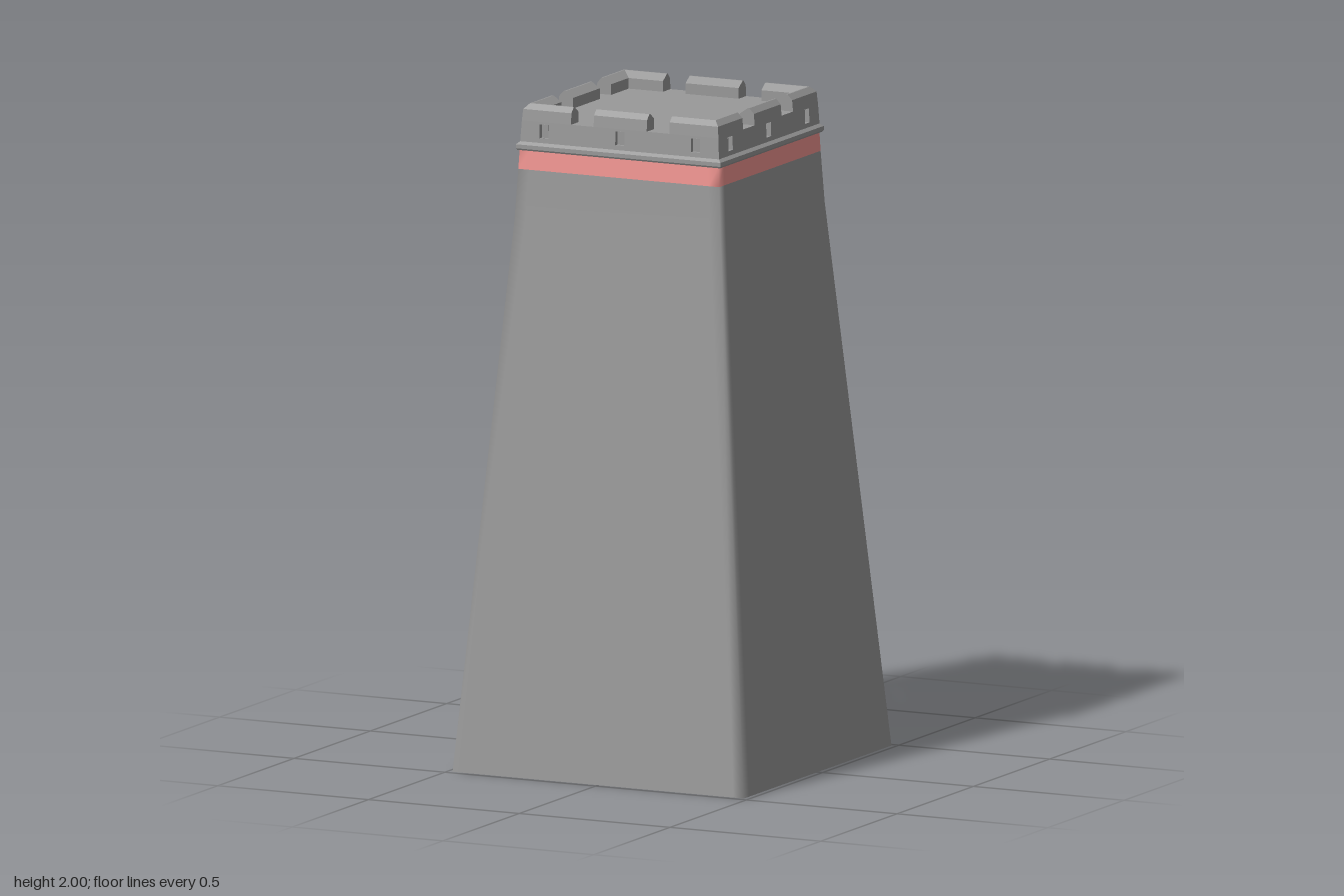
import * as THREE from 'three';

const stone = new THREE.MeshStandardMaterial({ color: 0x999999, side: THREE.DoubleSide });
const red = new THREE.MeshStandardMaterial({ color: 0xf29692, side: THREE.DoubleSide });

const CENTRE_Z = 0.013; // centre of the square top
const DECK_Y = 1.95;

// Wall outline at each height: half width, front z, back z, lip width
const LEVELS = [
  { y: 0, x: 0.483, front: 0.483, back: -0.485, lip: 0.05 },
  { y: 1.65, x: 0.342, front: 0.356, back: -0.326, lip: 0.033 },
  { y: 1.805, x: 0.333, front: 0.348, back: -0.317, lip: 0.03 },
  { y: 1.866, x: 0.33, front: 0.345, back: -0.315, lip: 0.029 },
];

// Wall plan: three sides, open at the back; points near each corner
// keep the soft corner shading in a narrow strip
const S = 0.035;
const wallPlan = (l) => [
  [l.x, l.back], [l.x, l.front - S], [l.x, l.front], [l.x - S, l.front],
  [-l.x + S, l.front], [-l.x, l.front], [-l.x, l.front - S], [-l.x, l.back],
];
// Narrow lips turned inward along the open back
const leftLipPlan = (l) => [[l.x - l.lip, l.back], [l.x, l.back]];
const rightLipPlan = (l) => [[-l.x, l.back], [-l.x + l.lip, l.back]];

function addMesh(parent, name, geometry, material = stone) {
  const mesh = new THREE.Mesh(geometry, material);
  mesh.name = name;
  parent.add(mesh);
  return mesh;
}

// Skin stretched between the plans of successive levels
function loft(levels, plan) {
  const pos = [], index = [];
  const n = plan(levels[0]).length;
  levels.forEach((l, j) => {
    plan(l).forEach(([x, z], i) => {
      pos.push(x, l.y, z);
      if (j < levels.length - 1 && i < n - 1) {
        const a = j * n + i, up = a + n;
        index.push(a, up, a + 1, a + 1, up, up + 1);
      }
    });
  });
  const g = new THREE.BufferGeometry();
  g.setAttribute('position', new THREE.Float32BufferAttribute(pos, 3));
  g.setIndex(index);
  g.computeVertexNormals();
  return g;
}

// Square ring from a profile of [half width, y]
function squareRing(profile) {
  const pts = profile.map(([d, y]) => new THREE.Vector2(d * Math.SQRT2, y));
  const g = new THREE.LatheGeometry(pts, 4).rotateY(Math.PI / 4).toNonIndexed();
  g.computeVertexNormals();
  return g;
}

// Merlon cross-section as [distance from centre, y], outer foot to inner foot
const MERLON = [
  [0.326, DECK_Y], [0.323, 1.984], [0.308, 2.0], [0.303, 2.0], [0.277, 1.982], [0.277, DECK_Y],
];

// Merlon from u = a to u = b; a null end is mitred at the corner
function merlon(a, b) {
  const start = MERLON.map(([d, y]) => [a === null ? -d : a, y, d]);
  const end = MERLON.map(([d, y]) => [b === null ? d : b, y, d]);
  const pos = [];
  const tri = (...p) => p.forEach((v) => pos.push(...v));
  for (let i = 0; i < MERLON.length - 1; i++) {
    tri(start[i], end[i], end[i + 1]);
    tri(start[i], end[i + 1], start[i + 1]);
  }
  for (let i = 1; i < MERLON.length - 1; i++) {
    if (a !== null) tri(start[0], start[i], start[i + 1]);
    if (b !== null) tri(end[0], end[i + 1], end[i]);
  }
  const g = new THREE.BufferGeometry();
  g.setAttribute('position', new THREE.Float32BufferAttribute(pos, 3));
  g.computeVertexNormals();
  return g;
}

// Parapet skin with three window slots, leaning slightly inward
const WINDOWS = [-0.251, 0, 0.251];
const SLOT = { w: 0.015, y0: 1.901, y1: 1.943 };
function parapetSkin() {
  const y0 = 1.88, lean = (y) => 0.33 - ((y - y0) / (DECK_Y - y0)) * 0.004;
  const polygon = (Type, pts) => new Type(pts.map(([x, y]) => new THREE.Vector2(x, y)));
  const shape = polygon(THREE.Shape, [
    [-lean(y0), y0], [lean(y0), y0], [lean(DECK_Y), DECK_Y], [-lean(DECK_Y), DECK_Y],
  ]);
  for (const u of WINDOWS) {
    shape.holes.push(polygon(THREE.Path, [
      [u - SLOT.w, SLOT.y0], [u - SLOT.w, SLOT.y1], [u + SLOT.w, SLOT.y1], [u + SLOT.w, SLOT.y0],
    ]));
  }
  const g = new THREE.ShapeGeometry(shape);
  const p = g.attributes.position;
  for (let i = 0; i < p.count; i++) p.setZ(i, lean(p.getY(i)));
  g.computeVertexNormals();
  return g;
}

// Window recess: a box without its front face
function recess() {
  const depth = 0.014;
  const g = new THREE.BoxGeometry(SLOT.w * 2, SLOT.y1 - SLOT.y0, depth);
  const idx = Array.from(g.index.array);
  idx.splice(24, 6);
  g.setIndex(idx);
  g.clearGroups();
  return g.translate(0, (SLOT.y0 + SLOT.y1) / 2, 0.3275 - depth / 2);
}

export function createModel() {
  const model = new THREE.Group();
  model.name = 'tower';

  // Shell below, coloured band above, each with its back lips
  const sections = [
    ['wall', LEVELS.slice(0, 3), stone],
    ['band', LEVELS.slice(2), red],
  ];
  for (const [name, levels, material] of sections) {
    addMesh(model, name, loft(levels, wallPlan), material);
    addMesh(model, name + 'LeftLip', loft(levels, leftLipPlan), material);
    addMesh(model, name + 'RightLip', loft(levels, rightLipPlan), material);
  }

  const top = new THREE.Group();
  top.name = 'battlements';
  top.position.z = CENTRE_Z;
  model.add(top);

  // Cornice moulding around all four sides
  addMesh(top, 'cornice', squareRing([
    [0.326, 1.862], [0.336, 1.862], [0.339, 1.867], [0.339, 1.879], [0.329, 1.888], [0.326, 1.862],
  ]));

  // Flat deck, which also forms the floors of the gaps
  addMesh(top, 'deck', new THREE.PlaneGeometry(0.652, 0.652).rotateX(-Math.PI / 2)).position.y = DECK_Y;

  // Four equal parapet sides
  const spans = [[null, -0.163], [-0.088, 0.088], [0.163, null]];
  for (let k = 0; k < 4; k++) {
    const side = new THREE.Group();
    side.name = ['front', 'left', 'back', 'right'][k] + 'Parapet';
    side.rotation.y = (k * Math.PI) / 2;
    top.add(side);
    addMesh(side, 'parapetSkin', parapetSkin());
    for (const u of WINDOWS) addMesh(side, 'windowRecess', recess()).position.x = u;
    for (const [a, b] of spans) addMesh(side, 'merlon', merlon(a, b));
  }
  return model;
}
